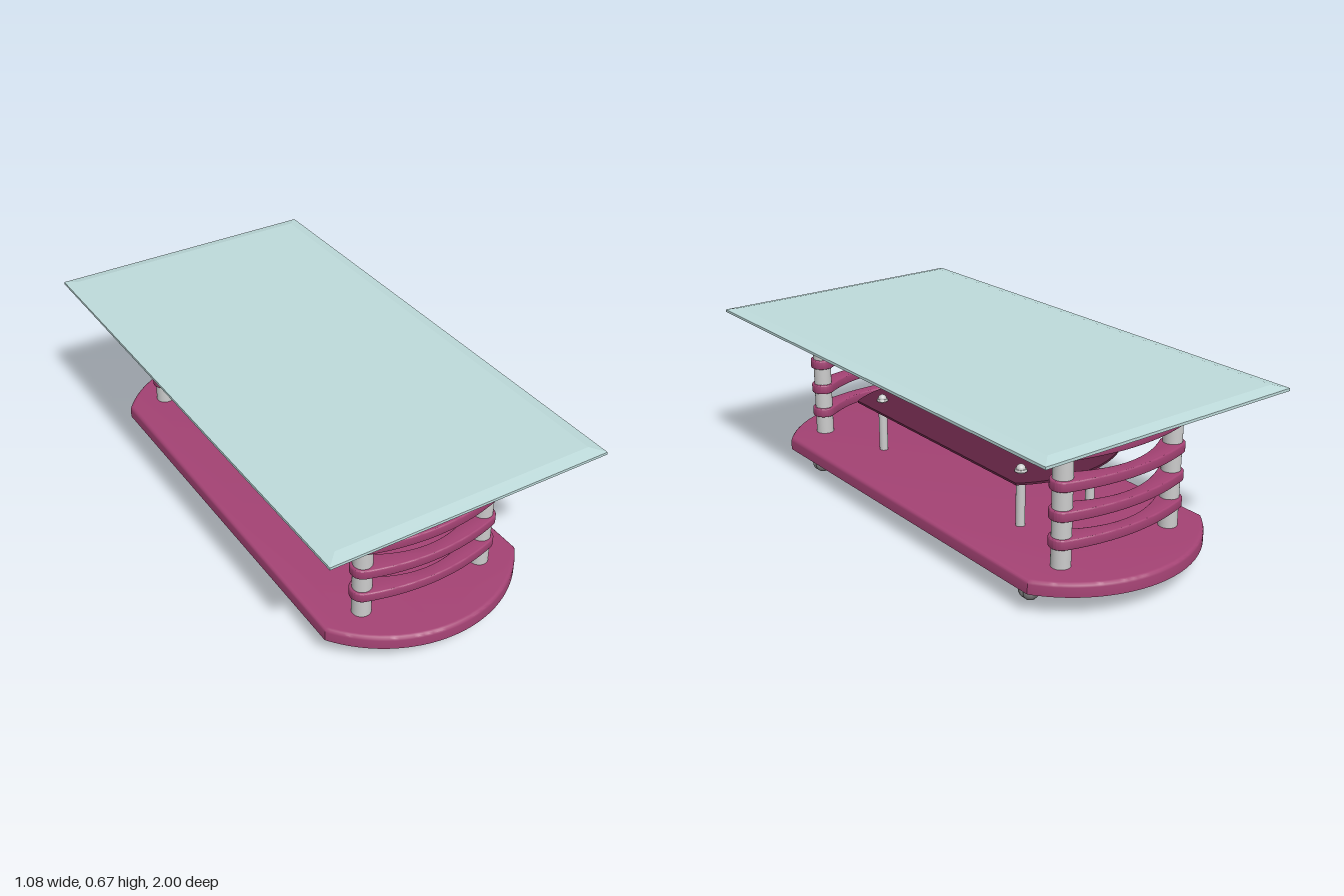
import * as THREE from 'three';
import { toCreasedNormals } from 'three/addons/utils/BufferGeometryUtils.js';

const mat = (color, opts = {}) => new THREE.MeshStandardMaterial({ color, ...opts });
const glass = mat(0xbddada);
const plum = mat(0xa34273);
const darkPlum = mat(0x5e2240);
const metal = mat(0xcccccc);
const darkMetal = mat(0x7c7c7c);

function add(parent, name, geometry, material, x = 0, y = 0, z = 0) {
  const mesh = new THREE.Mesh(geometry, material);
  mesh.name = name;
  mesh.position.set(x, y, z);
  parent.add(mesh);
  return mesh;
}

// Plan shape (x, z) extruded to a slab whose underside lies on y = 0.
function slab(shape, height, bevel, flatBottom = false) {
  const geo = new THREE.ExtrudeGeometry(shape, {
    depth: height - bevel * (flatBottom ? 1 : 2),
    bevelEnabled: bevel > 0, bevelThickness: bevel, bevelSize: bevel,
    bevelOffset: -bevel, bevelSegments: 3, curveSegments: 28,
  });
  geo.translate(0, 0, bevel);
  const p = geo.attributes.position;
  for (let i = 0; i < p.count; i++) p.setZ(i, Math.min(p.getZ(i), height));
  geo.rotateX(Math.PI / 2).translate(0, height, 0);
  return toCreasedNormals(geo, 0.6);
}

// Straight-sided board with an arc at each end.
function boardShape(halfWidth, corner, apex) {
  const sag = apex - corner;
  const r = (halfWidth ** 2 + sag ** 2) / (2 * sag);
  const c = apex - r;
  const a = Math.atan2(corner - c, halfWidth);
  const s = new THREE.Shape();
  s.moveTo(halfWidth, -corner);
  s.lineTo(halfWidth, corner);
  s.absarc(0, c, r, a, Math.PI - a, false);
  s.lineTo(-halfWidth, -corner);
  s.absarc(0, -c, r, Math.PI + a, Math.PI * 2 - a, false);
  return s;
}

// Bowed slat that wraps round two posts; z is measured from the post line.
function slatShape() {
  const r = 0.045, px = 0.25;
  const hi = THREE.MathUtils.degToRad(70), lo = THREE.MathUtils.degToRad(-120);
  const s = new THREE.Shape();
  s.moveTo(px + r * Math.cos(lo), r * Math.sin(lo));
  s.absarc(px, 0, r, lo, hi, false);
  s.quadraticCurveTo(0, 0.128, -px - r * Math.cos(hi), r * Math.sin(hi));
  s.absarc(-px, 0, r, Math.PI - hi, Math.PI - lo, false);
  s.quadraticCurveTo(0, 0.109, px + r * Math.cos(lo), r * Math.sin(lo));
  return s;
}

// Glass top with a wide shallow chamfer on its upper edge.
function topGeometry() {
  const geo = new THREE.BoxGeometry(1.08, 0.02, 2, 1, 2, 1);
  const p = geo.attributes.position;
  for (let i = 0; i < p.count; i++) {
    if (p.getY(i) > 0.005) {
      p.setX(i, p.getX(i) - Math.sign(p.getX(i)) * 0.045);
      p.setZ(i, p.getZ(i) - Math.sign(p.getZ(i)) * 0.045);
    }
  }
  return toCreasedNormals(geo, 0.1);
}

// Twin-wheel ball caster with a slanted neck and a hood.
function caster() {
  const g = new THREE.Group();
  g.name = 'caster';
  const wheel = new THREE.LatheGeometry([
    [0, 0], [0.028, 0], [0.031, 0.004], [0.031, 0.012], [0.027, 0.022],
    [0.018, 0.031], [0.007, 0.035], [0.006, 0.037], [0, 0.037],
  ].map(([r, y]) => new THREE.Vector2(r, y)), 28);
  for (const side of [1, -1]) {
    const w = add(g, 'casterWheel', wheel, darkMetal, 0, 0.031, side * 0.002);
    w.rotation.x = side * Math.PI / 2;
  }
  const hub = add(g, 'casterHub', new THREE.CylinderGeometry(0.024, 0.024, 0.008, 20), darkMetal, 0, 0.031, 0);
  hub.rotation.x = Math.PI / 2;
  const hood = add(g, 'casterHood', new THREE.CylinderGeometry(0.037, 0.037, 0.034, 24, 1, true,
    Math.PI * 0.95, Math.PI * 0.75), mat(0x7c7c7c, { side: THREE.DoubleSide }), 0, 0.031, 0);
  hood.rotation.x = Math.PI / 2;
  const path = new THREE.CatmullRomCurve3([
    new THREE.Vector3(-0.03, 0.04, 0), new THREE.Vector3(-0.018, 0.064, 0), new THREE.Vector3(-0.008, 0.088, 0),
  ]);
  add(g, 'casterNeck', new THREE.TubeGeometry(path, 8, 0.008, 12), darkMetal);
  return g;
}

export function createModel() {
  const model = new THREE.Group();
  model.name = 'coffeeTable';

  add(model, 'tableTop', topGeometry(), glass, 0, 0.655, 0);
  add(model, 'base', slab(boardShape(0.405, 0.765, 0.975), 0.05, 0.014, true), plum, 0, 0.085, 0);
  add(model, 'shelf', slab(boardShape(0.24, 0.5, 0.57), 0.008, 0), darkPlum, 0, 0.332, 0);

  const post = new THREE.CylinderGeometry(0.035, 0.035, 0.5, 32);
  const cap = new THREE.CylinderGeometry(0.043, 0.043, 0.014, 32);
  const slat = slab(slatShape(), 0.037, 0.005);
  const strut = new THREE.CylinderGeometry(0.017, 0.017, 0.215, 24);
  const flange = new THREE.CylinderGeometry(0.02, 0.023, 0.008, 24);
  const dome = new THREE.SphereGeometry(0.017, 24, 10, 0, Math.PI * 2, 0, Math.PI / 2);

  for (const end of [1, -1]) {
    // Ladder of bowed slats at each end
    for (const y of [0.228, 0.33, 0.436, 0.544]) {
      const s = add(model, 'endSlat', slat, plum, 0, y - 0.0185, end * 0.75);
      if (end < 0) s.rotation.y = Math.PI;
    }
    for (const side of [1, -1]) {
      // Main posts
      add(model, 'post', post, metal, side * 0.25, 0.382, end * 0.75);
      add(model, 'postCap', cap, metal, side * 0.25, 0.638, end * 0.75);
      // Shelf supports
      add(model, 'shelfStrut', strut, metal, side * 0.165, 0.242, end * 0.435);
      add(model, 'strutFlange', flange, metal, side * 0.165, 0.348, end * 0.435);
      add(model, 'strutDome', dome, metal, side * 0.165, 0.352, end * 0.435);
      // Casters all trail the same way
      const c = caster();
      c.position.set(side * 0.32, 0, end * 0.672);
      model.add(c);
    }
  }
  return model;
}
